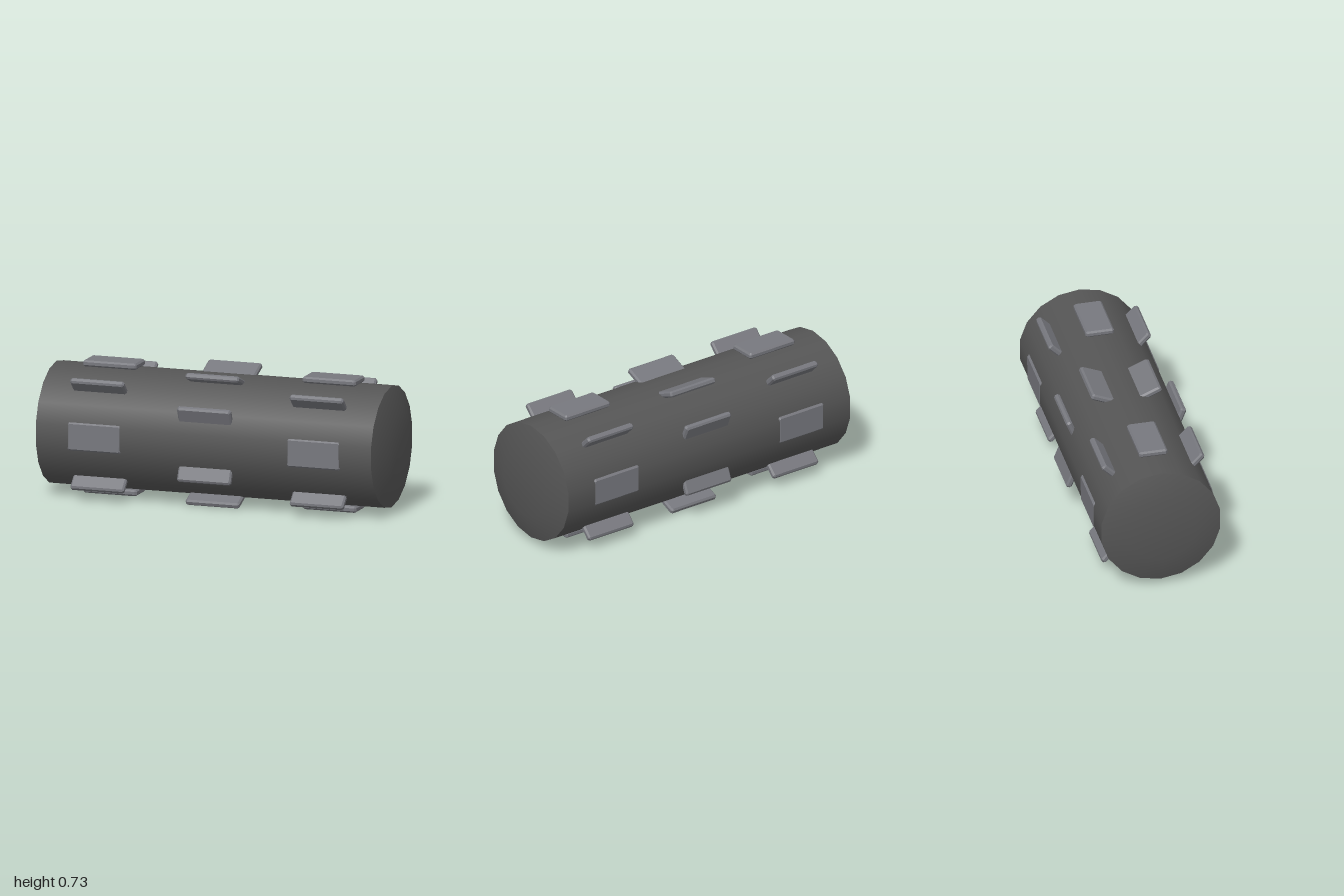
import * as THREE from 'three';

const RADIUS = 0.3325, CENTER_Y = 0.3675, SIDES = 18, SHOULDER = 0.955;

// Thin plate with chamfered edges, lying flat: x long, y thick, z wide
function plateGeometry(length, thick, width, c) {
  const x = length / 2 - c, y = width / 2 - c, k = 0.004;
  const shape = new THREE.Shape([
    [-x + k, -y], [x - k, -y], [x, -y + k], [x, y - k],
    [x - k, y], [-x + k, y], [-x, y - k], [-x, -y + k],
  ].map(([a, b]) => new THREE.Vector2(a, b)));
  const geo = new THREE.ExtrudeGeometry(shape, {
    depth: thick - 2 * c, bevelThickness: c, bevelSize: c, bevelSegments: 1,
  });
  geo.center();
  geo.rotateX(-Math.PI / 2);
  return geo;
}

// Turned part with its axis along x and a vertex line at the very top
function turned(name, profile, material) {
  const pts = profile.map(([r, h]) => new THREE.Vector2(r, h));
  const geo = new THREE.LatheGeometry(pts, SIDES, Math.PI / 2);
  geo.rotateZ(-Math.PI / 2);
  const mesh = new THREE.Mesh(geo, material);
  mesh.name = name;
  mesh.position.y = CENTER_Y;
  return mesh;
}

export function createModel() {
  const model = new THREE.Group();
  model.name = 'studdedRoller';
  const dark = new THREE.MeshStandardMaterial({ color: 0x555555 });
  dark.name = 'dark grey';
  const steel = new THREE.MeshStandardMaterial({ color: 0x77787e });
  steel.name = 'steel grey';

  // Drum with shallow tapered ends
  model.add(
    turned('drum', [[RADIUS, -SHOULDER], [RADIUS, SHOULDER]], dark),
    turned('leftEnd', [[RADIUS, SHOULDER], [0.187, 1], [0, 1]], dark),
    turned('rightEnd', [[0, -1], [0.187, -1], [RADIUS, -SHOULDER]], dark),
  );

  // Three rings of eight plates; the middle ring is turned by half a step
  const geo = plateGeometry(0.305, 0.034, 0.156, 0.009);
  const rings = [['rightRing', -0.625, 0], ['middleRing', 0, 0.5], ['leftRing', 0.625, 0]];
  for (const [name, x, shift] of rings) {
    const ring = new THREE.Group();
    ring.name = name;
    ring.position.set(x, CENTER_Y, 0);
    for (let i = 0; i < 8; i++) {
      const a = (i + shift) * Math.PI / 4 + 0.008;
      const plate = new THREE.Mesh(geo, steel);
      plate.name = 'plate';
      plate.position.set(0, 0.347 * Math.cos(a), 0.313 * Math.sin(a));
      plate.rotation.x = -a; // leans against the curve, so diagonal plates stand out as fins
      ring.add(plate);
    }
    model.add(ring);
  }
  return model;
}
